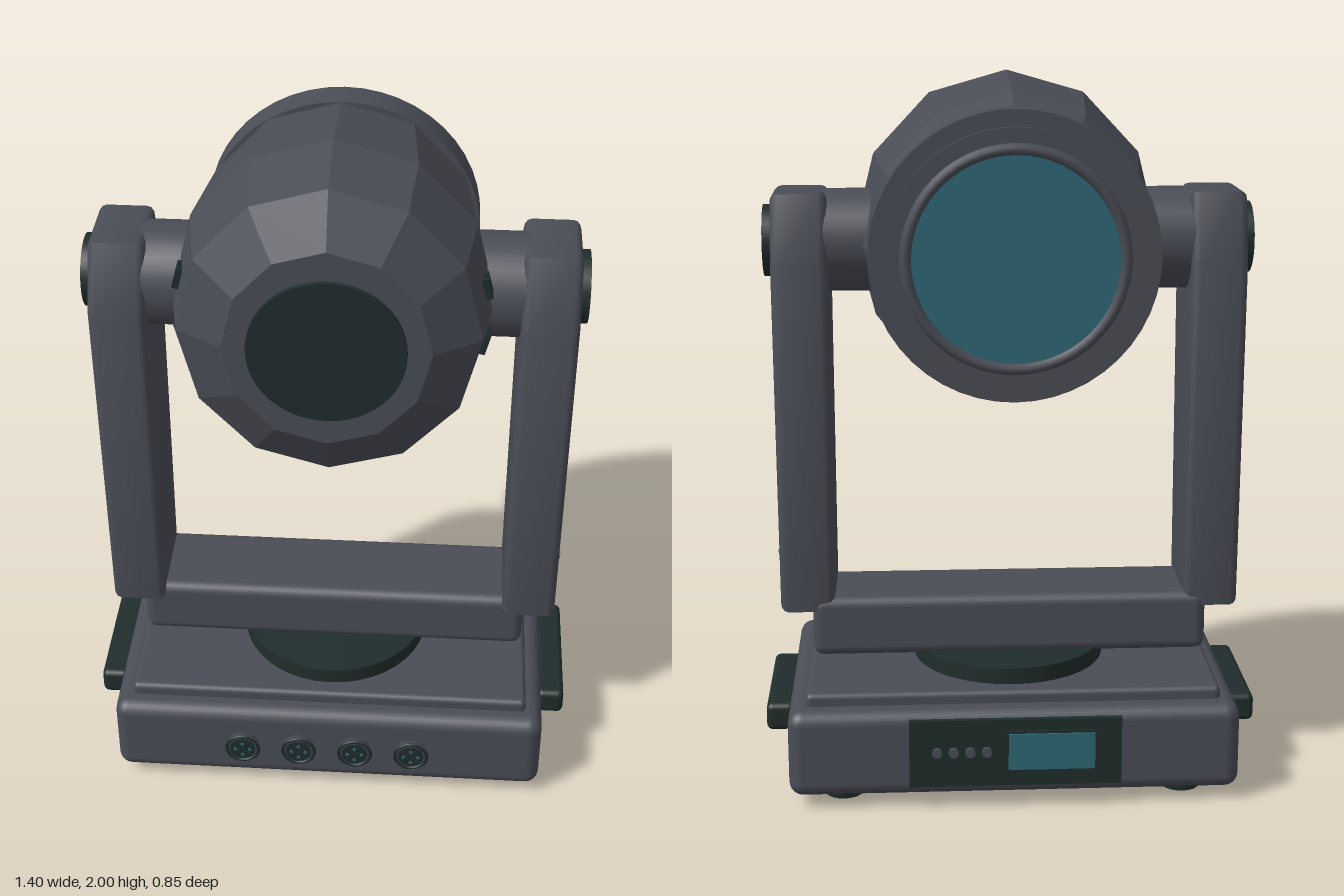
import * as THREE from 'three';
import { RoundedBoxGeometry } from 'three/addons/geometries/RoundedBoxGeometry.js';
import { toCreasedNormals } from 'three/addons/utils/BufferGeometryUtils.js';

const material = (name, color) => {
  const m = new THREE.MeshStandardMaterial({ color });
  m.name = name;
  return m;
};

export function createModel() {
  const body = material('charcoal housing', 0x4a4d56);
  const dark = material('dark trim', 0x202d2c);
  const teal = material('teal glass', 0x2f6a78);
  const model = new THREE.Group();
  model.name = 'movingHeadLight';

  const add = (name, geometry, mat, x = 0, y = 0, z = 0, parent = model) => {
    const mesh = new THREE.Mesh(geometry, mat);
    mesh.name = name;
    mesh.position.set(x, y, z);
    parent.add(mesh);
    return mesh;
  };
  const rounded = (w, h, d, r) => new RoundedBoxGeometry(w, h, d, 3, r);
  // Cylinder along z (r1 at +z end) or along x
  const discZ = (r1, r2, depth, n = 40) => new THREE.CylinderGeometry(r1, r2, depth, n).rotateX(Math.PI / 2);
  const discX = (r, depth, n = 32) => new THREE.CylinderGeometry(r, r, depth, n).rotateZ(Math.PI / 2);

  // Base
  const base = new THREE.Group();
  base.name = 'base';
  model.add(base);
  add('baseBox', rounded(1.26, 0.25, 0.8, 0.04), body, 0, 0.16, 0, base);
  add('baseTopPlate', rounded(1.16, 0.07, 0.68, 0.016), body, 0, 0.285, 0, base);
  add('turntable', new THREE.CylinderGeometry(0.29, 0.29, 0.05, 40).scale(0.95, 1, 1), dark, 0, 0.342, 0, base);
  for (const sx of [-1, 1]) {
    for (const sz of [-1, 1])
      add('foot', new THREE.CylinderGeometry(0.06, 0.055, 0.045, 20), dark, sx * 0.48, 0.0225, sz * 0.27, base);
    add('handle', rounded(0.08, 0.08, 0.42, 0.018), dark, sx * 0.66, 0.2, 0, base);
    add('handleMount', new THREE.BoxGeometry(0.012, 0.04, 0.45), dark, sx * 0.63, 0.2, 0, base);
  }

  // Round sockets on the front of the base
  for (let i = 0; i < 4; i++) {
    const socket = new THREE.Group();
    socket.name = 'socket';
    socket.position.set((i - 1.5) * 0.166, 0.16, 0.4);
    base.add(socket);
    add('socketShell', discZ(0.055, 0.042, 0.03, 24), body, 0, 0, 0.005, socket);
    add('socketRim', new THREE.TorusGeometry(0.047, 0.006, 8, 24), dark, 0, 0, 0.018, socket);
    add('socketFace', discZ(0.038, 0.038, 0.004, 24), dark, 0, 0, 0.021, socket);
    for (let k = 0; k < 4; k++) {
      const a = k * Math.PI / 2;
      add('socketPin', discZ(0.005, 0.005, 0.004, 8), teal, 0.021 * Math.cos(a), 0.021 * Math.sin(a), 0.024, socket);
    }
  }

  // Control panel on the back of the base
  add('controlPanel', new THREE.BoxGeometry(0.59, 0.195, 0.016), dark, 0, 0.167, -0.404, base);
  add('displayFrame', new THREE.BoxGeometry(0.26, 0.12, 0.006), dark, -0.1, 0.172, -0.414, base);
  add('display', new THREE.BoxGeometry(0.24, 0.105, 0.008), teal, -0.1, 0.172, -0.418, base);
  for (let i = 0; i < 4; i++)
    add('panelButton', discZ(0.014, 0.014, 0.014, 12), body, 0.08 + i * 0.046, 0.172, -0.417, base);

  // Yoke
  const yoke = new THREE.Group();
  yoke.name = 'yoke';
  model.add(yoke);
  add('yokeCrossbar', rounded(1.13, 0.175, 0.27, 0.03), body, 0, 0.4425, -0.005, yoke);
  const outline = new THREE.Shape([
    [-0.145, 0.49], [0.135, 0.49], [0.165, 1.5], [0.11, 1.68], [-0.1, 1.68], [-0.175, 1.5],
  ].map(([u, v]) => new THREE.Vector2(u, v)));
  const bevel = 0.022;
  const armGeometry = toCreasedNormals(new THREE.ExtrudeGeometry(outline, {
    depth: 0.155 - 2 * bevel, bevelSize: bevel, bevelThickness: bevel, bevelOffset: -bevel, bevelSegments: 3,
  }).rotateY(Math.PI / 2).translate(bevel - 0.0775, 0, 0), 0.6);
  for (const s of [-1, 1]) {
    add('yokeArm', armGeometry, body, s * 0.578, 0, 0, yoke);
    add('tiltHub', discX(0.143, 0.18), body, s * 0.43, 1.54, 0, yoke);
    add('tiltCap', discX(0.1, 0.04), dark, s * 0.66, 1.54, 0, yoke);
    add('armIndicator', discX(0.01, 0.02, 12), teal, s * 0.657, 0.625, 0.02, yoke);
  }

  // Head: twelve-sided faceted shell around the z axis
  const head = new THREE.Group();
  head.name = 'head';
  head.position.y = 1.54;
  model.add(head);
  const shellProfile = [[0, -0.28], [0.385, -0.28], [0.42, -0.2], [0.46, 0.09], [0.425, 0.29], [0.29, 0.367], [0, 0.367]]
    .map(([r, h]) => new THREE.Vector2(r, h));
  const shell = new THREE.LatheGeometry(shellProfile, 12).rotateX(Math.PI / 2).scale(0.94, 1, 1);
  add('headShell', toCreasedNormals(shell, 0.05), body, 0, 0, 0, head);
  add('rearCap', discZ(0.208, 0.208, 0.02, 48), dark, 0, 0, 0.37, head);

  // Lens end
  add('lensCollar', discZ(0.387, 0.387, 0.095, 48), body, 0, 0, -0.3225, head);
  add('lensStep', discZ(0.342, 0.342, 0.02, 48), body, 0, 0, -0.375, head);
  add('lensSeat', discZ(0.295, 0.295, 0.025, 48), body, 0, 0, -0.39, head);
  add('lensRing', new THREE.TorusGeometry(0.288, 0.016, 10, 56), body, 0, 0, -0.408, head);
  add('lens', discZ(0.277, 0.277, 0.009, 48), teal, 0, 0, -0.407, head);

  // Cooling slits on both sides of the shell
  for (const sx of [-1, 1])
    for (const sy of [-1, 1])
      for (const z of [0.14, 0.17]) {
        const slit = add('coolingSlit', new THREE.BoxGeometry(0.02, 0.06, 0.017), dark, sx * 0.405, sy * 0.085, z, head);
        slit.rotation.z = sx * sy * 0.25;
      }

  return model;
}
